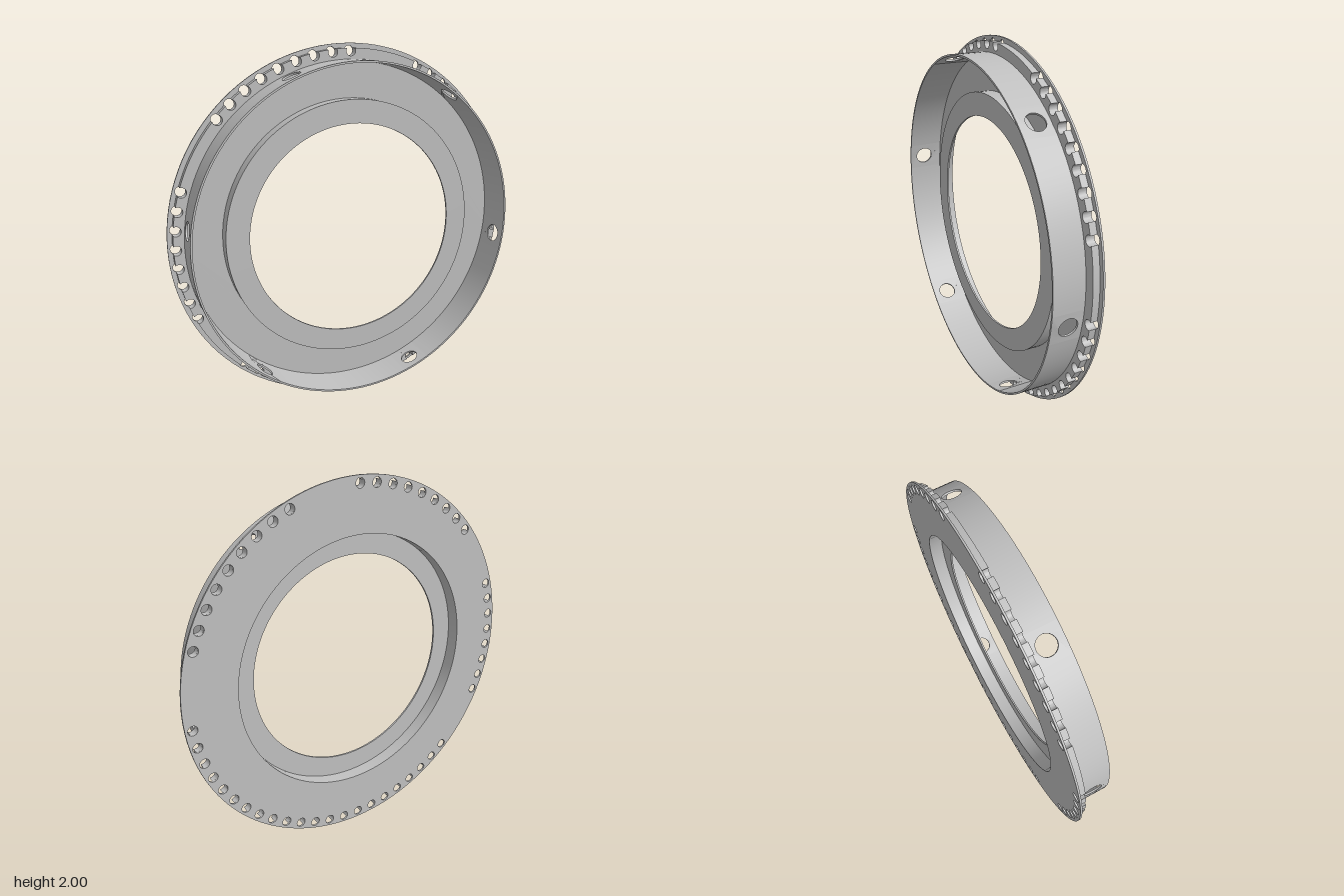
import * as THREE from 'three';
import { toCreasedNormals } from 'three/addons/utils/BufferGeometryUtils.js';

const RAD = Math.PI / 180;
const BACK = -0.105, FRONT = 0.105, PLATE = 0.01;
const BOLT_R = 0.961, BOLT_HOLE = 0.026, RING_R = 0.975;
const RIM_OUT = 0.92, RIM_IN = 0.91;

// Bolt holes every 6 degrees, apart from four gaps of three
const GAPS = [0, 6, 12, 72, 78, 84, 144, 150, 156, 210, 216, 222];
const boltAngles = [];
for (let a = 0; a < 360; a += 6) if (!GAPS.includes(a)) boltAngles.push(a * RAD);

function circlePath(x, y, r) {
  return new THREE.Path().absarc(x, y, r, 0, Math.PI * 2, true);
}

// Revolve a (radius, z) section around the z axis
function revolve(points, segments, start = 0, length = Math.PI * 2) {
  const geo = new THREE.LatheGeometry(
    points.map(([r, z]) => new THREE.Vector2(r, z)), segments, start + Math.PI / 2, length);
  geo.rotateX(Math.PI / 2);
  return toCreasedNormals(geo, 0.6);
}

// Thin back plate with its bolt holes
function plateGeometry() {
  const shape = new THREE.Shape().absarc(0, 0, 1, 0, Math.PI * 2, false);
  shape.holes.push(circlePath(0, 0, 0.715));
  for (const a of boltAngles) {
    shape.holes.push(circlePath(BOLT_R * Math.cos(a), BOLT_R * Math.sin(a), BOLT_HOLE));
  }
  const geo = new THREE.ExtrudeGeometry(shape, { depth: PLATE, bevelEnabled: false, curveSegments: 60 });
  geo.translate(0, 0, BACK);
  return toCreasedNormals(geo, 0.5);
}

// Raised ring whose outer edge is notched by the bolt holes
function notchedRingGeometry() {
  // where each bolt circle meets the ring's outer circle
  const along = (RING_R ** 2 + BOLT_R ** 2 - BOLT_HOLE ** 2) / (2 * BOLT_R);
  const across = Math.sqrt(RING_R ** 2 - along ** 2);
  const half = Math.atan2(across, along);
  const turn = Math.atan2(across, along - BOLT_R);
  const points = [];
  const add = (r, a, cx = 0, cy = 0) =>
    points.push(new THREE.Vector2(cx + r * Math.cos(a), cy + r * Math.sin(a)));
  for (let d = 0; d < 360; d += 6) {
    const a = d * RAD;
    if (GAPS.includes(d)) {
      for (const k of [-1, 0, 1]) add(RING_R, a + k * half);
    } else {
      const cx = BOLT_R * Math.cos(a), cy = BOLT_R * Math.sin(a);
      for (let i = 0; i <= 16; i++) {
        add(BOLT_HOLE, a - turn - (i / 16) * (2 * Math.PI - 2 * turn), cx, cy);
      }
    }
    add(RING_R, a + 3 * RAD);
  }
  const shape = new THREE.Shape(points);
  shape.holes.push(circlePath(0, 0, 0.915));
  const geo = new THREE.ExtrudeGeometry(shape, { depth: 0.035, bevelEnabled: false, curveSegments: 60 });
  geo.translate(0, 0, BACK + PLATE);
  return toCreasedNormals(geo, 0.5);
}

// Piece of the rim wall with a round hole, bent to the rim's curve
function rimPanelGeometry(angle, halfAngle) {
  const z0 = BACK + PLATE, w = halfAngle * RIM_OUT;
  const shape = new THREE.Shape();
  const steps = 6;
  for (let i = 0; i <= steps; i++) {
    const u = -w + (2 * w * i) / steps;
    if (i === 0) shape.moveTo(u, z0); else shape.lineTo(u, z0);
  }
  for (let i = steps; i >= 0; i--) shape.lineTo(-w + (2 * w * i) / steps, FRONT);
  shape.holes.push(circlePath(0, 0.015, 0.05));
  const geo = new THREE.ExtrudeGeometry(shape, { depth: RIM_OUT - RIM_IN, bevelEnabled: false, curveSegments: 32 });
  const p = geo.attributes.position;
  for (let i = 0; i < p.count; i++) {
    const a = angle + p.getX(i) / RIM_OUT, r = RIM_IN + p.getZ(i);
    p.setXYZ(i, r * Math.cos(a), r * Math.sin(a), p.getY(i));
  }
  geo.computeVertexNormals();
  return toCreasedNormals(geo, 0.5);
}

export function createModel() {
  const model = new THREE.Group();
  model.name = 'flangedRing';
  const metal = new THREE.MeshStandardMaterial({ color: 0xc0c0c0 });
  metal.name = 'lightGrey';

  const add = (name, geo, parent) => {
    const mesh = new THREE.Mesh(geo, metal);
    mesh.name = name;
    parent.add(mesh);
  };

  const body = new THREE.Group();
  body.name = 'body';
  body.position.y = 1;
  model.add(body);

  add('backPlate', plateGeometry(), body);
  add('notchedRing', notchedRingGeometry(), body);

  // Stepped hub: short wall and an inward lip, hollow at the back
  add('hub', revolve([
    [0.718, BACK + 0.002], [0.718, -0.02], [0.592, -0.02],
    [0.592, -0.03], [0.71, -0.03], [0.71, BACK], [0.718, BACK],
  ], 120), body);

  // Thin rim: six holed panels joined by plain arcs
  const rim = new THREE.Group();
  rim.name = 'rim';
  body.add(rim);
  const half = 5 * RAD, z0 = BACK + PLATE;
  for (let i = 0; i < 6; i++) {
    const angle = (52.5 + 60 * i) * RAD;
    add('rimHolePanel', rimPanelGeometry(angle, half), rim);
    add('rimArc', revolve([
      [RIM_OUT, z0], [RIM_OUT, FRONT], [RIM_IN, FRONT], [RIM_IN, z0],
    ], 20, angle + half, 60 * RAD - 2 * half), rim);
  }
  return model;
}
